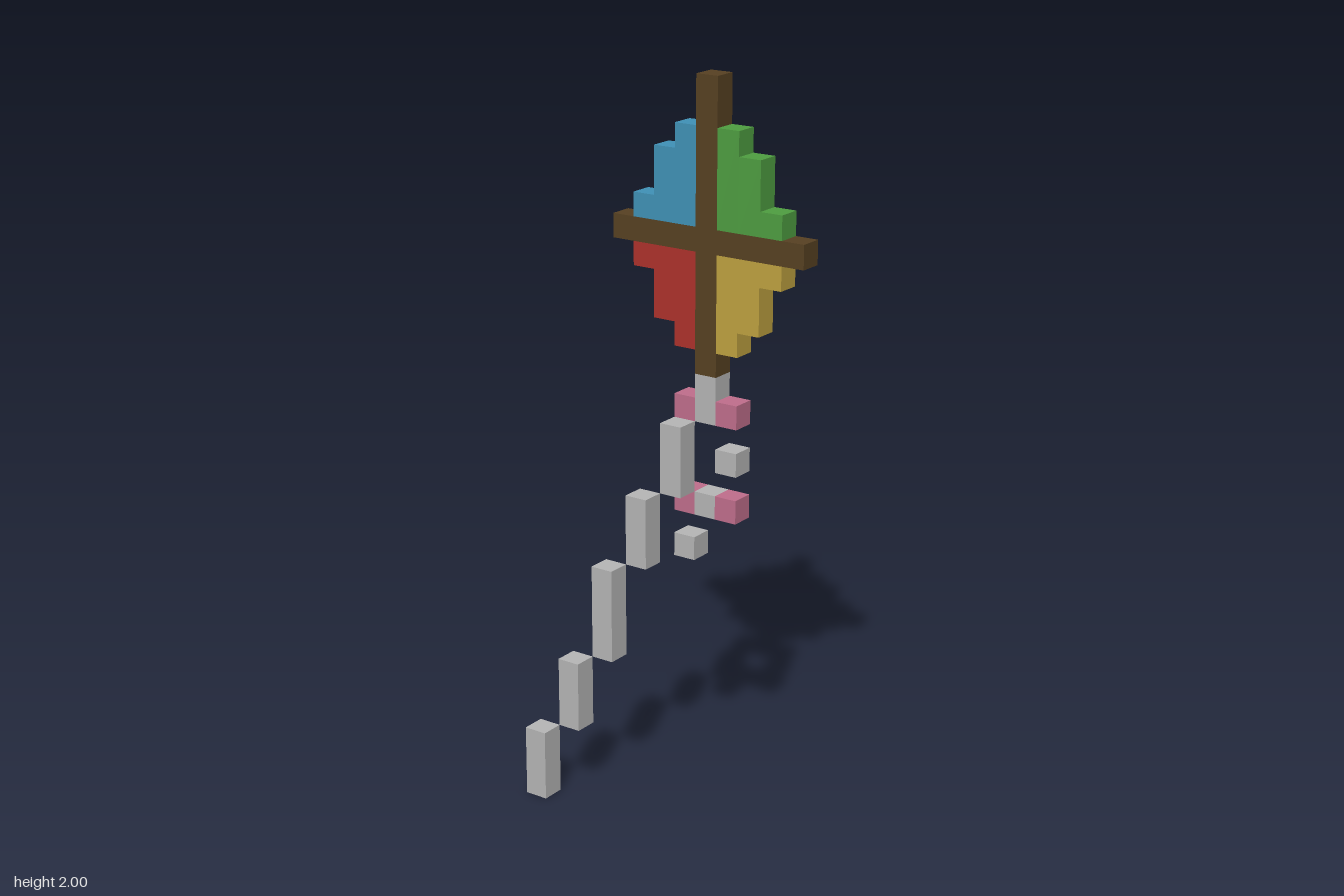
import * as THREE from 'three';

const U = 1 / 15; // edge of one block

const paint = (name, color) => {
  const m = new THREE.MeshStandardMaterial({ color });
  m.name = name;
  return m;
};

export function createModel() {
  const brown = paint('brown wood', 0x574122);
  const blue = paint('blue cloth', 0x4092b7);
  const green = paint('green cloth', 0x4f9e41);
  const red = paint('red cloth', 0xae322c);
  const yellow = paint('yellow cloth', 0xbfa240);
  const grey = paint('grey string', 0xb6b6b6);
  const pink = paint('pink ribbon', 0xc06e8c);

  const kite = new THREE.Group();
  kite.name = 'kite';

  // Box given by its lower corner and size, in blocks
  const block = (parent, name, mat, [x, y, z], [w, h, d]) => {
    const mesh = new THREE.Mesh(new THREE.BoxGeometry(w * U, h * U, d * U), mat);
    mesh.position.set((x + w / 2) * U, (y + h / 2) * U, (z + d / 2) * U);
    mesh.name = name;
    parent.add(mesh);
  };
  const group = (name) => {
    const g = new THREE.Group();
    g.name = name;
    kite.add(g);
    return g;
  };

  // Crossed spars
  const frame = group('frame');
  block(frame, 'uprightSpar', brown, [0, 18, -3], [1, 12, 1]);
  block(frame, 'crossSparRight', brown, [-4, 23, -3], [4, 1, 1]);
  block(frame, 'crossSparLeft', brown, [1, 23, -3], [4, 1, 1]);

  // Four stepped sail panels, columns counted outward from the upright spar
  const panel = (name, mat, side, up) => {
    const g = group(name);
    [4, 3, 1].forEach((h, i) => {
      const x = side > 0 ? 1 + i : -1 - i;
      block(g, name + 'Column', mat, [x, up ? 24 : 23 - h, -3], [1, h, 1]);
    });
  };
  panel('upperRightSail', blue, -1, true);
  panel('upperLeftSail', green, 1, true);
  panel('lowerRightSail', red, -1, false);
  panel('lowerLeftSail', yellow, 1, false);

  // Tail winding below the sail, with two ribbon bows
  const tail = group('tail');
  block(tail, 'tailTop', grey, [0, 16, -3], [1, 2, 1]);
  for (const [x, y] of [[1, 14], [0, 12], [-1, 10]]) {
    block(tail, 'tailLink', grey, [x, y, -3], [1, 1, 1]);
  }
  for (const y of [16, 12]) {
    for (const x of [-1, 1]) block(tail, 'bow', pink, [x, y, -3], [1, 1, 1]);
  }

  // Flying line stepping down towards the front right
  const line = group('flyingLine');
  const levels = [16, 13, 10, 6, 3, 0];
  for (let i = 0; i < 5; i++) {
    block(line, 'lineSegment', grey, [-1 - i, levels[i + 1], -2 + i], [1, levels[i] - levels[i + 1], 1]);
  }

  return kite;
}
